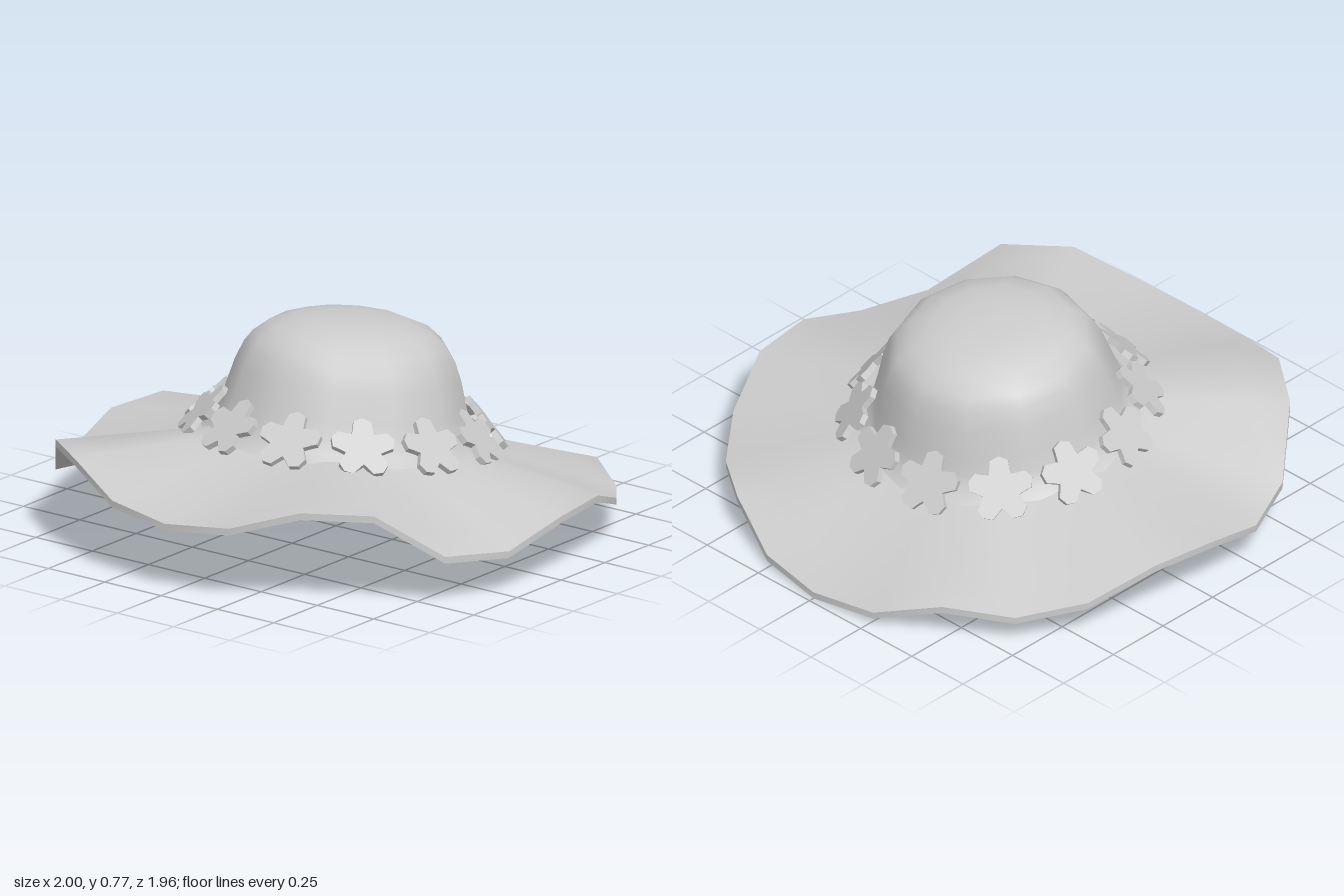
import * as THREE from 'three';

const TILT = 0.12;        // the whole hat leans back a little
const BASE_Y = 0.36;
const BASE_Z = -0.045;
const THICKNESS = 0.025;
const SEGMENTS = 24;
const OPENING = 0.34;

// height of the brim edge every 15 degrees, from front centre to back centre
const EDGE = [0.26, 0.285, 0.365, 0.355, 0.185, 0.165, 0.235, 0.24, 0.15, 0.11, 0.135, 0.045, 0.025];

const grey = new THREE.MeshStandardMaterial({ color: 0xcccccc });
const greyDouble = new THREE.MeshStandardMaterial({ color: 0xcccccc, side: THREE.DoubleSide });

function addMesh(parent, name, geometry, material = grey) {
  const mesh = new THREE.Mesh(geometry, material);
  mesh.name = name;
  parent.add(mesh);
  return mesh;
}

// Skin over closed rings of points
function ringSurface(rings) {
  const n = rings[0].length;
  const index = [];
  for (let i = 0; i < rings.length - 1; i++) {
    for (let j = 0; j < n; j++) {
      const k = (j + 1) % n;
      const a = i * n + j, b = (i + 1) * n + j, c = (i + 1) * n + k, d = i * n + k;
      index.push(a, b, d, b, c, d);
    }
  }
  const geometry = new THREE.BufferGeometry().setFromPoints(rings.flat());
  geometry.setIndex(index);
  geometry.computeVertexNormals();
  return geometry;
}

// Ring of the wavy brim: t = 0 at the head opening, t = 1 at the edge
function brimRing(t, drop) {
  const ring = [];
  for (let j = 0; j < SEGMENTS; j++) {
    const a = (j / SEGMENTS) * Math.PI * 2;
    const edgeY = EDGE[Math.min(j, SEGMENTS - j)];
    const innerY = 0.355 + TILT * OPENING * Math.cos(a);
    const x = THREE.MathUtils.lerp(OPENING, 1, t) * Math.sin(a);
    const z = THREE.MathUtils.lerp(OPENING, 0.98, t) * Math.cos(a) + BASE_Z * (1 - t);
    ring.push(new THREE.Vector3(x, THREE.MathUtils.lerp(innerY, edgeY, t ** 0.95) - drop, z));
  }
  return ring;
}

function createBrim() {
  const brim = new THREE.Group();
  brim.name = 'brim';
  const steps = [0, 0.2, 0.4, 0.6, 0.8, 1];
  addMesh(brim, 'brimTop', ringSurface(steps.map((t) => brimRing(t, 0))));
  addMesh(brim, 'brimEdge', ringSurface([brimRing(1, 0), brimRing(1, THICKNESS)]));
  addMesh(brim, 'brimUnderside', ringSurface(steps.slice().reverse().map((t) => brimRing(t, THICKNESS))));
  return brim;
}

// Five-petal flower with broad blunt petals
function flowerGeometry() {
  const petal = [[-0.63, 0.066], [-0.4, 0.088], [-0.3, 0.108], [0, 0.118], [0.3, 0.108], [0.4, 0.088]];
  const outline = [];
  for (let p = 0; p < 5; p++) {
    for (const [offset, r] of petal) {
      const a = Math.PI / 2 + (p * Math.PI * 2) / 5 + offset;
      outline.push(new THREE.Vector2(r * Math.cos(a), r * Math.sin(a)));
    }
  }
  const geometry = new THREE.ExtrudeGeometry(new THREE.Shape(outline), { depth: 0.022, bevelEnabled: false });
  return geometry.translate(0, 0, -0.011);
}

export function createModel() {
  const hat = new THREE.Group();
  hat.name = 'sunHat';
  hat.add(createBrim());

  // Crown and its flower band share the tilt
  const top = new THREE.Group();
  top.name = 'crownWithFlowers';
  top.position.set(0, BASE_Y, BASE_Z);
  top.rotation.x = -TILT;
  hat.add(top);

  // Crown flares softly into the brim
  const profile = [
    [0.51, -0.04], [0.468, -0.005], [0.448, 0.045], [0.43, 0.1], [0.402, 0.2], [0.375, 0.267],
    [0.345, 0.31], [0.29, 0.355], [0.2, 0.388], [0.1, 0.399], [0, 0.401],
  ].map(([r, y]) => new THREE.Vector2(r, y));
  addMesh(top, 'crown', new THREE.LatheGeometry(profile, 12));

  // Flat panel closing the head opening
  const lining = addMesh(top, 'headOpening', new THREE.CircleGeometry(OPENING + 0.004, SEGMENTS), greyDouble);
  lining.rotation.x = Math.PI / 2;
  lining.position.y = -0.029;

  // Band of twelve flowers leaning against the crown
  const flowers = new THREE.Group();
  flowers.name = 'flowerBand';
  top.add(flowers);
  const geometry = flowerGeometry();
  for (let i = 0; i < 12; i++) {
    const arm = new THREE.Group();
    arm.name = 'flowerMount';
    arm.rotation.y = ((i + 0.5) / 12) * Math.PI * 2;
    const flower = addMesh(arm, 'flower', geometry);
    flower.position.set(0, 0.03, 0.505);
    flower.rotation.x = -0.72;
    flowers.add(arm);
  }
  return hat;
}
